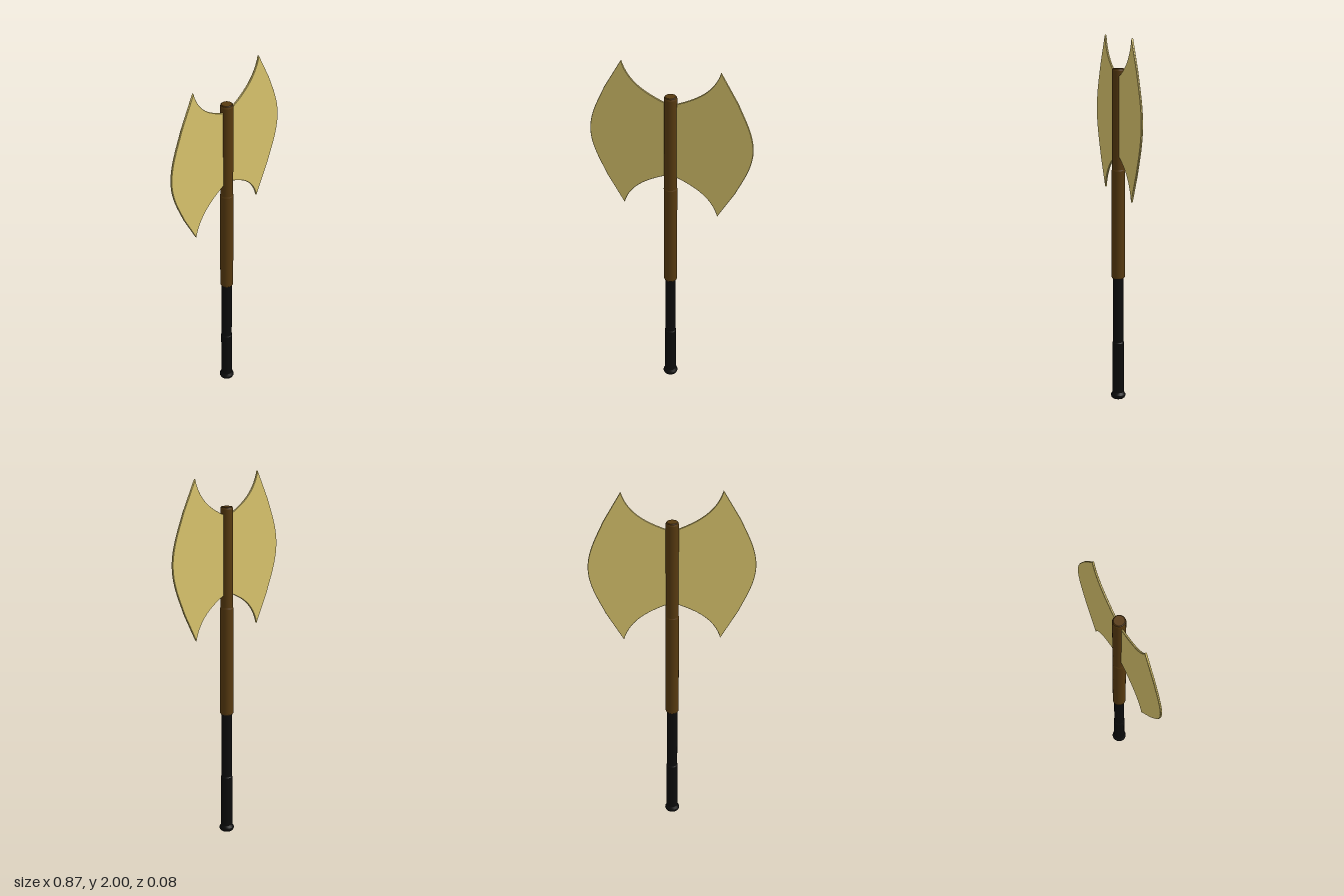
import * as THREE from 'three';

const gold = new THREE.MeshStandardMaterial({ color: 0xd8c36c });
const brown = new THREE.MeshStandardMaterial({ color: 0x573a10 });
const black = new THREE.MeshStandardMaterial({ color: 0x0c0c0c });

// Turned part; each profile segment gets its own lathe so the edges stay crisp
function turned(name, profile, material) {
  const group = new THREE.Group();
  group.name = name;
  for (let i = 0; i < profile.length - 1; i++) {
    const points = [profile[i], profile[i + 1]].map(([r, y]) => new THREE.Vector2(r, y));
    group.add(new THREE.Mesh(new THREE.LatheGeometry(points, 32), material));
  }
  return group;
}

// Both wings of the blade in one outline, going round counterclockwise
function bladeShape() {
  const s = new THREE.Shape();
  s.moveTo(0, 1.362);
  s.lineTo(0.037, 1.362);
  s.bezierCurveTo(0.14, 1.32, 0.225, 1.27, 0.257, 1.16);
  s.lineTo(0.35, 1.32);
  s.bezierCurveTo(0.38, 1.39, 0.435, 1.48, 0.435, 1.58);
  s.bezierCurveTo(0.435, 1.68, 0.38, 1.77, 0.35, 1.84);
  s.lineTo(0.257, 2);
  s.bezierCurveTo(0.225, 1.89, 0.14, 1.84, 0.037, 1.798);
  s.lineTo(-0.037, 1.798);
  s.bezierCurveTo(-0.14, 1.84, -0.225, 1.89, -0.257, 2);
  s.lineTo(-0.35, 1.84);
  s.bezierCurveTo(-0.38, 1.77, -0.435, 1.68, -0.435, 1.58);
  s.bezierCurveTo(-0.435, 1.48, -0.38, 1.39, -0.35, 1.32);
  s.lineTo(-0.257, 1.16);
  s.bezierCurveTo(-0.225, 1.27, -0.14, 1.32, -0.037, 1.362);
  s.closePath();
  return s;
}

export function createModel() {
  const axe = new THREE.Group();
  axe.name = 'doubleAxe';

  // Thin double blade with a slightly bevelled rim
  const bladeGeometry = new THREE.ExtrudeGeometry(bladeShape(), {
    depth: 0.006, curveSegments: 14,
    bevelEnabled: true, bevelThickness: 0.002, bevelSize: 0.002, bevelOffset: -0.002, bevelSegments: 1,
  });
  bladeGeometry.translate(0, 0, -0.004);
  const blade = new THREE.Mesh(bladeGeometry, gold);
  blade.name = 'blade';
  axe.add(blade);

  // Wooden shaft: thicker lower half, narrower head with a rounded top
  axe.add(turned('shaft', [
    [0, 0.695], [0.033, 0.695], [0.036, 0.7], [0.036, 1.29], [0.034, 1.295],
    [0.034, 1.822], [0.031, 1.832], [0.027, 1.835], [0, 1.835],
  ], brown));

  // Black grip, a touch wider near the bottom
  axe.add(turned('grip', [
    [0.032, 0.03], [0.032, 0.325], [0.029, 0.33], [0.029, 0.7],
  ], black));

  // Flared pommel
  axe.add(turned('pommel', [
    [0, 0], [0.03, 0.002], [0.037, 0.008], [0.041, 0.017], [0.04, 0.025], [0.032, 0.038],
  ], black));

  return axe;
}
